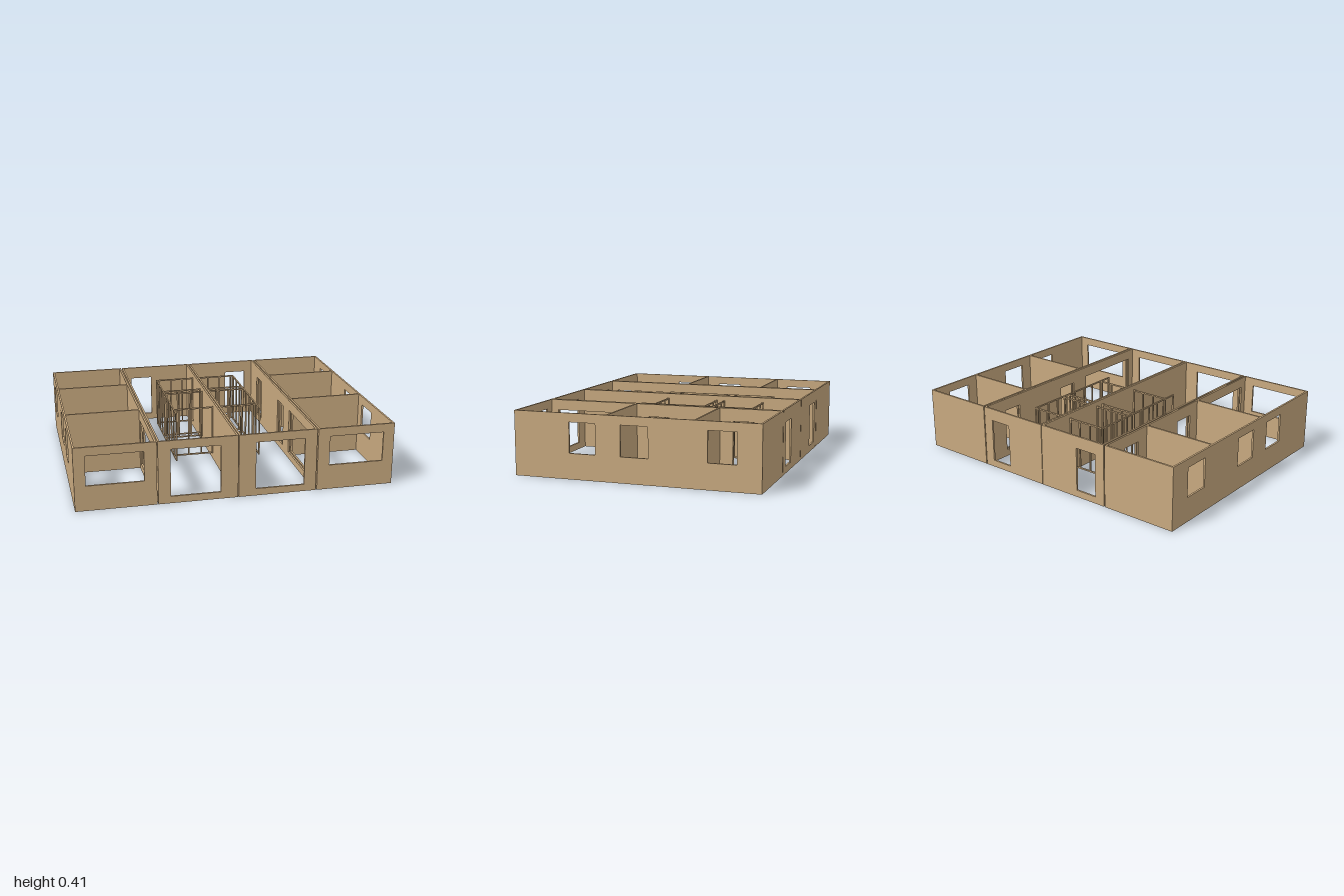
import * as THREE from 'three';

const H = 0.405;      // wall height
const T = 0.012;      // wall thickness
const Z = 0.778;      // half depth of the building
const SILL = 0.045, DOOR = 0.325, HEAD = 0.35;

const timber = new THREE.MeshStandardMaterial({ color: 0xc8a97f });
timber.name = 'timber';

function rect(path, [a, b, y0, y1]) {
  path.moveTo(a, y0);
  path.lineTo(b, y0);
  path.lineTo(b, y1);
  path.lineTo(a, y1);
  path.closePath();
  return path;
}

// Upright panel from a to b with rectangular openings, centred on its thickness
function panel(a, b, openings) {
  const shape = rect(new THREE.Shape(), [a, b, 0, H]);
  for (const o of openings) shape.holes.push(rect(new THREE.Path(), o));
  const geo = new THREE.ExtrudeGeometry(shape, { depth: T, bevelEnabled: false });
  return geo.translate(0, 0, -T / 2);
}

function add(group, name, geo) {
  const mesh = new THREE.Mesh(geo, timber);
  mesh.name = name;
  group.add(mesh);
}

// Wall running along x; s mirrors it to either half
function wallX(group, name, s, x0, x1, z, openings = []) {
  const span = (a, b) => (s > 0 ? [a, b] : [-b, -a]);
  const holes = openings.map(([a, b, y0, y1]) => [...span(a, b), y0, y1]);
  add(group, name, panel(...span(x0, x1), holes).translate(0, 0, z));
}

// Wall running along z over the full depth
function wallZ(group, name, x, openings = []) {
  const end = Z - T;
  add(group, name, panel(-end, end, openings).rotateY(-Math.PI / 2).translate(x, 0, 0));
}

// Open stud frame between two points, with plates and studs at the given distances
function studFrame(group, name, x0, z0, x1, z1, studs) {
  const frame = new THREE.Group();
  frame.name = name;
  const w = 0.009, h = 0.375;
  const lx = Math.abs(x1 - x0), lz = Math.abs(z1 - z0), len = lx + lz;
  for (const [part, y] of [['bottomPlate', SILL + w / 2], ['topPlate', h - w / 2]]) {
    add(frame, part, new THREE.BoxGeometry(lx + w, w, lz + w)
      .translate((x0 + x1) / 2, y, (z0 + z1) / 2));
  }
  for (const d of studs) {
    const k = d / len;
    add(frame, 'stud', new THREE.BoxGeometry(w, h - SILL - 2 * w, w)
      .translate(x0 + (x1 - x0) * k, (h + SILL) / 2, z0 + (z1 - z0) * k));
  }
  group.add(frame);
}

export function createModel() {
  const model = new THREE.Group();
  model.name = 'modularHouse';

  const sideWindows = [[0.245, 0.415], [-0.09, 0.085], [-0.63, -0.455]]
    .map(([a, b]) => [a, b, 0.16, HEAD]);
  const innerDoors = [
    [0.22, 0.72, SILL, 0.338],
    [-0.05, 0.088, SILL, DOOR],
    [-0.6, -0.465, SILL, DOOR],
  ];
  const zFace = Z - T / 2;

  for (const s of [1, -1]) {
    // Outer module: three rooms with side windows
    const outer = new THREE.Group();
    outer.name = s > 0 ? 'leftOuterModule' : 'rightOuterModule';
    wallX(outer, 'frontWall', s, 0.504, 1, zFace, [[0.58, 0.93, 0.16, HEAD]]);
    wallX(outer, 'backWall', s, 0.504, 1, -zFace);
    wallZ(outer, 'sideWall', s * (1 - T / 2), sideWindows);
    wallZ(outer, 'innerWall', s * (0.504 + T / 2), innerDoors);
    for (const z of [-0.375, 0.175]) wallX(outer, 'roomPartition', s, 0.504 + T, 1 - T, z);
    model.add(outer);

    // Middle module: open hall with front and back doors
    const middle = new THREE.Group();
    middle.name = s > 0 ? 'leftMiddleModule' : 'rightMiddleModule';
    wallX(middle, 'frontWall', s, 0.002, 0.497, zFace, [[0.11, 0.42, SILL, HEAD]]);
    wallX(middle, 'backWall', s, 0.002, 0.497, -zFace, [[0.283, 0.43, SILL, DOOR]]);
    wallZ(middle, 'partyWall', s * (0.002 + T / 2));
    wallZ(middle, 'innerWall', s * (0.497 - T / 2), innerDoors);

    // Stud framing for the core rooms
    const longStuds = [0, 0.09, 0.18, 0.27, 0.36, 0.45, 0.54, 0.63, 0.72, 0.75];
    studFrame(middle, 'longStudFrame', s * 0.28, 0.225, s * 0.28, -0.525, longStuds);
    for (const z of [-0.525, -0.26, -0.205, 0.135]) {
      studFrame(middle, 'crossStudFrame', s * 0.02, z, s * 0.27, z, [0, 0.075, 0.16, 0.245]);
    }
    model.add(middle);
  }
  return model;
}
